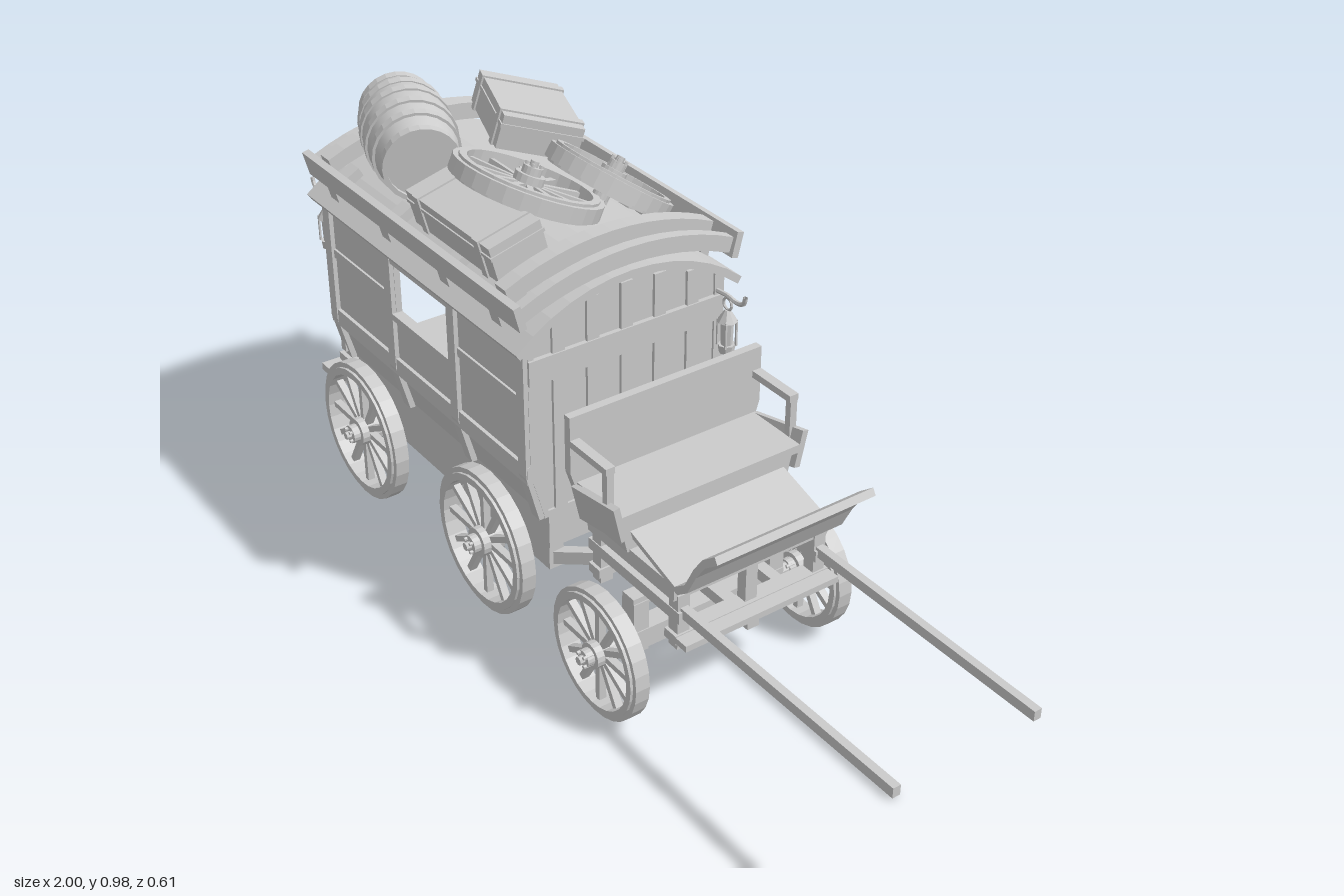
import * as THREE from 'three';

const flat = new THREE.MeshStandardMaterial({ color: 0xcccccc, flatShading: true, side: THREE.DoubleSide });
const smooth = new THREE.MeshStandardMaterial({ color: 0xcccccc, side: THREE.DoubleSide });

function add(parent, name, geo, x = 0, y = 0, z = 0, mat = flat) {
  const m = new THREE.Mesh(geo, mat);
  m.name = name;
  m.position.set(x, y, z);
  parent.add(m);
  return m;
}
const box = (p, name, w, h, d, x, y, z) => add(p, name, new THREE.BoxGeometry(w, h, d), x, y, z);

// box from a range on each axis
const span = (p, name, x0, x1, y0, y1, z0, z1) =>
  box(p, name, x1 - x0, y1 - y0, Math.abs(z1 - z0), (x0 + x1) / 2, (y0 + y1) / 2, (z0 + z1) / 2);

// square bar between two points
function beam(p, name, a, b, w, h) {
  const A = new THREE.Vector3(...a), B = new THREE.Vector3(...b);
  const m = box(p, name, w, h, A.distanceTo(B), ...A.clone().add(B).multiplyScalar(0.5).toArray());
  m.lookAt(B);
  return m;
}
const poly = pts => new THREE.Shape(pts.map(q => new THREE.Vector2(...q)));

// (z, y) outline extruded along x from x0 to x1
function across(p, name, pts, x0, x1) {
  const geo = new THREE.ExtrudeGeometry(poly(pts.map(([z, y]) => [-z, y])), { depth: x1 - x0, bevelEnabled: false });
  return add(p, name, geo.rotateY(Math.PI / 2), x0, 0, 0);
}
// (x, y) outline extruded along z from z0
function along(p, name, shape, z0, depth) {
  return add(p, name, new THREE.ExtrudeGeometry(shape, { depth, bevelEnabled: false }), 0, 0, z0);
}
// arc points (z, y) with crown height top, over z = -half..half
function arc(R, top, half, n = 12) {
  const a = Math.asin(half / R);
  return Array.from({ length: n + 1 }, (_, i) => {
    const t = -a + (2 * a * i) / n;
    return [R * Math.sin(t), top - R + R * Math.cos(t)];
  });
}
const ring = (r0, r1, w, n = 28) => new THREE.LatheGeometry(
  [[r0, -w / 2], [r1, -w / 2], [r1, w / 2], [r0, w / 2], [r0, -w / 2]].map(q => new THREE.Vector2(...q)), n).rotateX(Math.PI / 2);
const drum = (r0, r1, len, n = 16) => new THREE.CylinderGeometry(r0, r1, len, n).rotateX(Math.PI / 2);

// spoked wheel, axis along z
function wheel(parent, name, r, x, y, z) {
  const g = new THREE.Group();
  g.name = name;
  add(g, 'tyre', ring(r * 0.92, r, 0.032));
  add(g, 'felloe', ring(r * 0.83, r * 0.93, 0.044));
  for (let i = 0; i < 12; i++) {
    const a = (i / 12) * Math.PI * 2, len = r * 0.72;
    const s = box(g, 'spoke', len, 0.013, 0.016, Math.cos(a) * r * 0.5, Math.sin(a) * r * 0.5, 0);
    s.rotation.z = a;
  }
  add(g, 'hub', drum(r * 0.2, r * 0.2, 0.05));
  add(g, 'hubBarrel', drum(r * 0.13, r * 0.13, 0.082));
  add(g, 'hubCap', drum(0.009, 0.009, 0.105, 8));
  for (let i = 0; i < 4; i++) {
    const a = (i + 0.5) * Math.PI / 2;
    add(g, 'hubBolt', drum(0.004, 0.004, 0.096, 6), Math.cos(a) * 0.015, Math.sin(a) * 0.015, 0);
  }
  g.position.set(x, y, z);
  parent.add(g);
  return g;
}

function lantern(parent, x, dir, z) {
  const g = new THREE.Group();
  g.name = 'lantern';
  const hook = [[-0.035, 0.125], [0, 0.128], [0.03, 0.125], [0.05, 0.132], [0.055, 0.148]];
  const curve = new THREE.CatmullRomCurve3(hook.map(([a, b]) => new THREE.Vector3(a * dir, b, 0)));
  add(g, 'hook', new THREE.TubeGeometry(curve, 12, 0.005, 6));
  add(g, 'ring', new THREE.TorusGeometry(0.013, 0.003, 6, 12), 0, 0.11, 0);
  add(g, 'cap', new THREE.CylinderGeometry(0.006, 0.022, 0.025, 8), 0, 0.084, 0);
  add(g, 'glass', new THREE.CylinderGeometry(0.014, 0.012, 0.06, 8), 0, 0.045, 0);
  add(g, 'base', new THREE.CylinderGeometry(0.018, 0.016, 0.018, 8), 0, 0.009, 0);
  for (let i = 0; i < 4; i++) {
    const a = (i + 0.5) * Math.PI / 2;
    box(g, 'cageBar', 0.004, 0.06, 0.004, Math.cos(a) * 0.019, 0.045, Math.sin(a) * 0.019);
  }
  g.position.set(x, 0.545, z);
  parent.add(g);
}

function barrel(parent) {
  const g = new THREE.Group();
  g.name = 'barrel';
  const L = 0.26, rad = t => 0.095 - 0.02 * (2 * t - 1) ** 2;
  const pts = Array.from({ length: 11 }, (_, i) => new THREE.Vector2(rad(i / 10), (i / 10 - 0.5) * L));
  add(g, 'staves', new THREE.LatheGeometry(pts, 24), 0, 0, 0, smooth);
  for (const s of [-1, 1]) add(g, 'lid', new THREE.CylinderGeometry(0.075, 0.075, 0.006, 24), 0, s * 0.12, 0);
  for (const t of [0.03, 0.22, 0.4, 0.6, 0.78, 0.97])
    add(g, 'hoop', ring(rad(t) - 0.006, rad(t) + 0.004, 0.02, 24).rotateX(Math.PI / 2), 0, (t - 0.5) * L, 0);
  g.rotation.set(0, -0.33, Math.PI / 2 - 0.06);
  g.position.set(-0.58, 0.885, 0.135);
  parent.add(g);
}

function chest(parent, name, w, h, d, pos, rot) {
  const g = new THREE.Group();
  g.name = name;
  box(g, 'chestBody', w, h, d, 0, 0, 0);
  for (const x of [-0.36, 0.36]) box(g, 'strap', 0.02, h + 0.008, d + 0.008, x * w, 0, 0);
  box(g, 'lidSeam', w + 0.006, 0.008, d + 0.006, 0, h * 0.2, 0);
  g.position.set(...pos);
  g.rotation.set(...rot, 'YXZ');
  parent.add(g);
}

export function createModel() {
  const root = new THREE.Group();
  root.name = 'wagon';

  // cabin: floor, panelled sides with a window, plank front wall
  span(root, 'floor', -0.8, 0, 0.285, 0.3, -0.2, 0.2);
  for (const s of [1, -1]) {
    const side = poly([[-0.8, 0.4], [0, 0.4], [0, 0.71], [-0.8, 0.71]]);
    side.holes.push(poly([[-0.51, 0.53], [-0.51, 0.65], [-0.285, 0.65], [-0.285, 0.53]]));
    along(root, 'sideWall', side, s * 0.223 - 0.007, 0.014);
    across(root, 'lowerWall', [[0.188, 0.29], [0.2, 0.29], [0.23, 0.4], [0.216, 0.4]].map(([z, y]) => [s * z, y]), -0.8, 0);
    for (const x of [-0.785, -0.525, -0.27, -0.015])
      across(root, 'sidePost', [[0.198, 0.285], [0.226, 0.4], [0.226, 0.71], [0.24, 0.71], [0.24, 0.395], [0.212, 0.285]]
        .map(([z, y]) => [s * z, y]), x - 0.014, x + 0.014);
    span(root, 'waistRail', -0.8, 0, 0.38, 0.42, s * 0.222, s * 0.238);
    span(root, 'topRail', -0.8, 0, 0.672, 0.71, s * 0.222, s * 0.238);
    for (const [a, b] of [[-0.77, -0.54], [-0.255, -0.03]]) span(root, 'panelRail', a, b, 0.55, 0.57, s * 0.228, s * 0.235);
    span(root, 'windowSill', -0.52, -0.275, 0.515, 0.53, s * 0.222, s * 0.24);
    span(root, 'windowHead', -0.52, -0.275, 0.65, 0.665, s * 0.222, s * 0.238);
    span(root, 'rearDoorPost', -0.8, -0.78, 0.3, 0.74, s * 0.2, s * 0.222);
    // gathered rear curtain
    const cloth = new THREE.PlaneGeometry(0.11, 0.42, 16, 12), P = cloth.attributes.position;
    for (let i = 0; i < P.count; i++) {
      const u = P.getX(i) / 0.11 + 0.5, v = P.getY(i) / 0.42 + 0.5;
      const wide = 0.045 + 0.075 * Math.abs(v - 0.4) * 1.6;
      P.setXYZ(i, -0.76 + 0.009 * Math.sin(u * 18), 0.32 + v * 0.42, s * (0.205 - u * wide));
    }
    cloth.computeVertexNormals();
    add(root, 'curtain', cloth, 0, 0, 0, smooth);
  }
  across(root, 'frontWall', [[-0.2, 0.29], [-0.23, 0.4], ...arc(0.4, 0.785, 0.23), [0.23, 0.4], [0.2, 0.29]], -0.025, -0.005);
  for (const z of [-0.16, -0.08, 0, 0.08, 0.16]) span(root, 'batten', -0.006, 0.002, 0.3, 0.762 - z * z, z - 0.014, z + 0.014);
  span(root, 'frontRail', -0.006, 0.005, 0.605, 0.66, -0.23, 0.23);
  across(root, 'rearArch', [...arc(0.4, 0.785, 0.23), ...arc(0.4, 0.745, 0.215).reverse()], -0.8, -0.78);

  // bowed roof with luggage frame
  across(root, 'roof', [...arc(0.41, 0.795, 0.267), ...arc(0.395, 0.778, 0.258).reverse()], -0.81, 0.02);
  for (const x of [-0.755, -0.065])
    across(root, 'roofBow', [...arc(0.6, 0.85, 0.245), ...arc(0.6, 0.812, 0.235).reverse()], x - 0.018, x + 0.018);
  for (const x of [-0.79, 0])
    across(root, 'endBow', [...arc(0.6, 0.84, 0.25), ...arc(0.6, 0.804, 0.24).reverse()], x - 0.012, x + 0.012);
  for (const s of [1, -1]) {
    box(root, 'luggageRail', 0.83, 0.055, 0.016, -0.395, 0.77, s * 0.255).rotation.x = s * 0.25;
    for (const x of [-0.72, -0.5, -0.27, -0.08]) {
      box(root, 'railBlock', 0.035, 0.05, 0.022, x, 0.735, s * 0.24).rotation.x = s * 0.25;
      box(root, 'railCleat', 0.035, 0.022, 0.06, x, 0.755, s * 0.215).rotation.x = s * 0.5;
    }
  }
  lantern(root, -0.83, -1, 0.215);
  lantern(root, 0.035, 1, -0.222);

  // luggage
  barrel(root);
  chest(root, 'longChest', 0.31, 0.08, 0.12, [-0.275, 0.825, 0.165], [0.25, 0, 0]);
  chest(root, 'tiltedChest', 0.25, 0.075, 0.18, [-0.6, 0.845, -0.165], [-0.3, -0.35, 0]);
  for (const [r, x, y, z, tilt] of [[0.16, -0.285, 0.862, 0.04, -0.44], [0.139, -0.24, 0.845, -0.128, -0.62]])
    wheel(root, 'spareWheel', r, x, y, z).rotation.x = tilt + Math.PI / 2;

  // running gear
  for (const [x, y, r] of [[-0.655, 0.17, 0.162], [-0.147, 0.17, 0.162], [0.265, 0.147, 0.14]]) {
    for (const s of [1, -1]) wheel(root, 'wheel', r, x, y, s * 0.25);
    add(root, 'axle', drum(0.014, 0.014, 0.5, 10), x, y, 0);
    span(root, 'axleBeam', x - 0.022, x + 0.022, y - 0.02, y + 0.025, -0.185, 0.185);
  }
  for (const s of [1, -1]) {
    span(root, 'chassisBeam', -0.79, -0.01, 0.145, 0.285, s * 0.15, s * 0.185);
    beam(root, 'towBar', [-0.02, 0.17, s * 0.17], [0.16, 0.205, s * 0.015], 0.022, 0.03);
  }
  for (const x of [-0.78, -0.02]) span(root, 'crossBeam', x - 0.012, x + 0.012, 0.2, 0.285, -0.185, 0.185);

  // rear steps
  span(root, 'upperStep', -0.9, -0.8, 0.208, 0.228, -0.18, 0.18);
  span(root, 'lowerStep', -1, -0.908, 0.13, 0.148, -0.18, 0.18);
  for (const z of [-0.13, 0.13]) {
    beam(root, 'stepStringer', [-0.97, 0.14, z], [-0.78, 0.25, z], 0.02, 0.025);
    beam(root, 'stepBrace', [-0.99, 0.125, z * 0.6], [-0.76, 0.155, z * 0.6], 0.02, 0.02);
  }

  // forecarriage
  for (const s of [1, -1]) {
    span(root, 'sideBeam', 0.125, 0.42, 0.28, 0.305, s * 0.15, s * 0.18);
    span(root, 'shaft', 0.4, 1, 0.29, 0.312, s * 0.155, s * 0.172);
    span(root, 'lowerBeam', 0.13, 0.4, 0.205, 0.23, s * 0.09, s * 0.115);
    for (const x of [0.15, 0.4]) span(root, 'standard', x - 0.014, x + 0.014, 0.215, 0.34, s * 0.15, s * 0.178);
    span(root, 'axleBlock', 0.245, 0.285, 0.12, 0.24, s * 0.15, s * 0.185);
  }
  for (const x of [0.15, 0.265, 0.4]) span(root, 'crossBar', x - 0.018, x + 0.018, 0.232, 0.252, -0.185, 0.185);
  span(root, 'footPeg', 0.41, 0.45, 0.236, 0.25, -0.185, 0.185);
  span(root, 'centreBeam', 0.13, 0.42, 0.19, 0.215, -0.014, 0.014);
  span(root, 'kingPost', 0.385, 0.41, 0.19, 0.33, -0.014, 0.014);

  // driver's box: floor, bench, arms and curved dashboard
  span(root, 'footFloor', 0.13, 0.41, 0.33, 0.365, -0.185, 0.185);
  across(root, 'bench', [[-0.19, 0.36], [-0.212, 0.45], [0.212, 0.45], [0.19, 0.36]], 0.14, 0.27);
  span(root, 'benchSeat', 0.14, 0.285, 0.44, 0.458, -0.215, 0.215);
  across(root, 'seatBack', [[-0.19, 0.36], [-0.228, 0.48], [-0.228, 0.605], [0.228, 0.605], [0.228, 0.48], [0.19, 0.36]], 0.12, 0.138);
  for (const s of [1, -1]) {
    const cheek = along(root, 'seatCheek', poly([[0.135, 0.085], [0.285, 0.117], [0.285, 0.035], [0.135, 0]]), 0, 0.014);
    cheek.position.set(0, 0.37, s * 0.2 - 0.007);
    cheek.rotation.x = s * 0.22;
    span(root, 'armRest', 0.13, 0.255, 0.54, 0.555, s * 0.207, s * 0.228);
    span(root, 'armPost', 0.24, 0.255, 0.46, 0.545, s * 0.21, s * 0.226);
  }
  const dash = [[0.28, 0.395], [0.42, 0.352], [0.45, 0.375], [0.475, 0.425], [0.5, 0.462], [0.535, 0.49]];
  along(root, 'dashboard', poly([...dash, ...dash.map(([x, y]) => [x - 0.008, y + 0.014]).reverse()]), -0.185, 0.37);

  return root;
}
